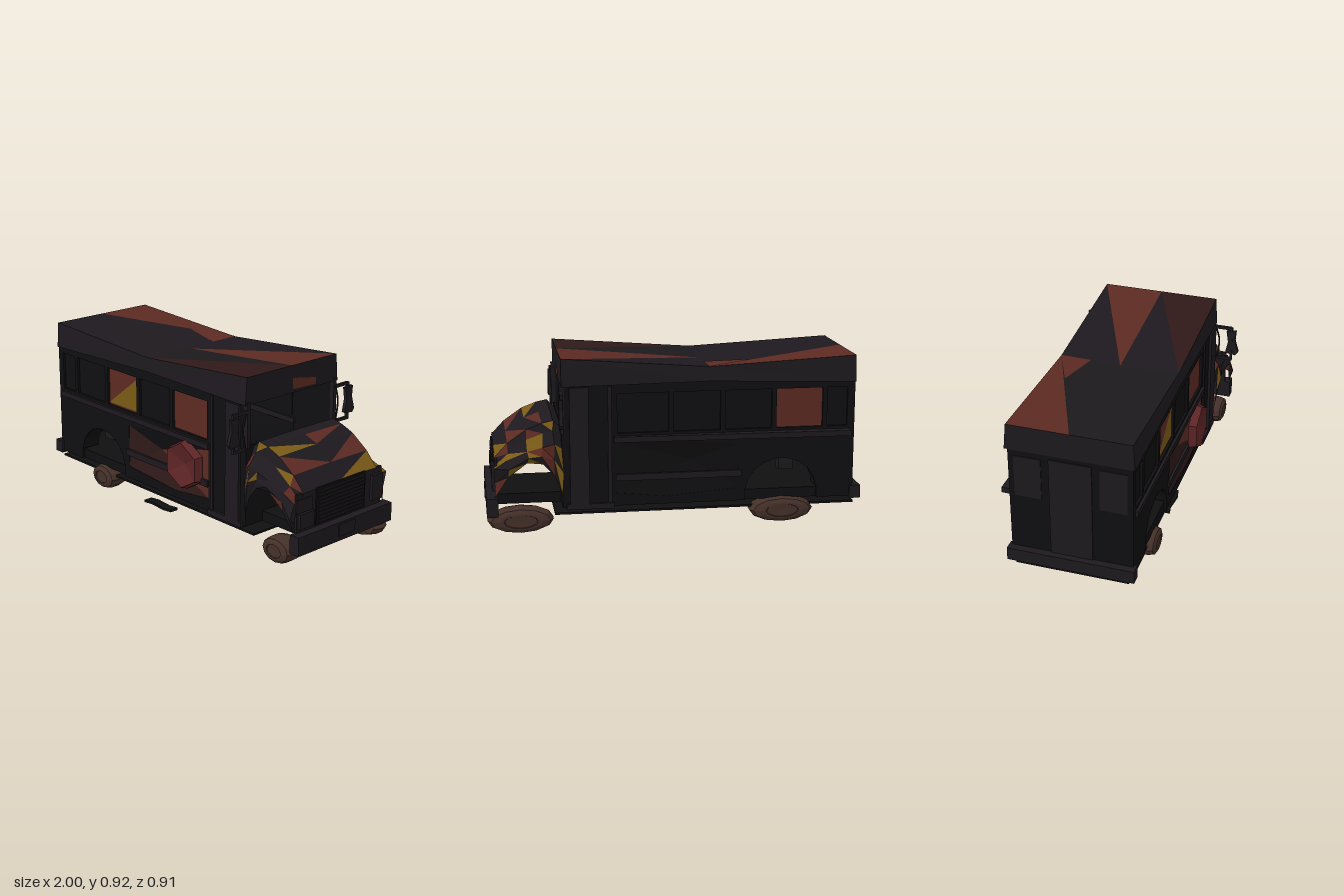
import * as THREE from 'three';

const DARK = 0x1d191e, BLACK = 0x0f0f11, RUST = 0x5c2a22, DIM = 0x2f1918, GOLD = 0x7a5a16, BROWN = 0x453029;

const mat = (color) => new THREE.MeshStandardMaterial({ color, flatShading: true, side: THREE.DoubleSide });

export function createModel() {
  const bus = new THREE.Group();

  const add = (name, geo, color = DARK) => {
    const m = new THREE.Mesh(geo, mat(color));
    m.name = name;
    bus.add(m);
    return m;
  };
  // Box given by its limits on each axis
  const box = (name, x0, x1, y0, y1, z0, z1, color) => {
    const m = add(name, new THREE.BoxGeometry(x1 - x0, y1 - y0, z1 - z0), color);
    m.position.set((x0 + x1) / 2, (y0 + y1) / 2, (z0 + z1) / 2);
    return m;
  };
  // Loose triangles, each three corner points
  const facets = (name, tris, color) => {
    const g = new THREE.BufferGeometry();
    g.setAttribute('position', new THREE.Float32BufferAttribute(tris.flat(2), 3));
    g.computeVertexNormals();
    return add(name, g, color);
  };

  // Side walls with a rear wheel arch
  const wall = new THREE.Shape();
  wall.moveTo(-0.955, 0.13);
  wall.lineTo(-0.76, 0.13);
  wall.lineTo(-0.76, 0.19);
  wall.bezierCurveTo(-0.72, 0.41, -0.41, 0.41, -0.37, 0.19);
  wall.lineTo(-0.37, 0.13);
  wall.lineTo(0.6, 0.13);
  wall.lineTo(0.6, 0.79);
  wall.lineTo(-0.955, 0.79);
  // Openings for the windows and the dented flank panel
  const bays = [-0.92, -0.785, -0.51, -0.235, 0.04];
  const ends = [-0.81, -0.535, -0.26, 0.015, 0.31];
  const dent = [[-0.33, 0.2], [0.05, 0.17], [0.32, 0.2], [0.32, 0.47], [-0.05, 0.47], [-0.33, 0.44]];
  const openings = bays.map((a, i) => [[a, 0.52], [ends[i], 0.52], [ends[i], 0.73], [a, 0.73]]);
  for (const pts of [...openings, dent]) {
    wall.holes.push(new THREE.Path(pts.map((q) => new THREE.Vector2(...q))));
  }
  const wallGeo = new THREE.ExtrudeGeometry(wall, { depth: 0.015, bevelEnabled: false, curveSegments: 10 });

  for (const s of [1, -1]) {
    const side = s > 0 ? 'left' : 'right';
    const sbox = (n, x0, x1, y0, y1, z0, z1, c) =>
      box(side + n, x0, x1, y0, y1, Math.min(s * z0, s * z1), Math.max(s * z0, s * z1), c);
    add(side + 'Wall', wallGeo, BLACK).position.z = s > 0 ? 0.305 : -0.32;
    const paneColors = s > 0 ? [BLACK, BLACK, RUST, BLACK, RUST] : [BLACK, RUST, BLACK, BLACK, BLACK];
    bays.forEach((a, i) => sbox('Window', a, ends[i], 0.52, 0.73, 0.3, 0.306, paneColors[i]));
    // Flank panel pushed inwards as a fan of facets
    const dentColors = s > 0 ? [DIM, DIM, RUST, BLACK, BLACK, DIM] : Array(6).fill(BLACK);
    dent.forEach(([x, y], i) => {
      const [u, v] = dent[(i + 1) % dent.length];
      facets(side + 'FlankPanel', [[[-0.08, 0.36, s * 0.295], [x, y, s * 0.318], [u, v, s * 0.318]]], dentColors[i]);
    });
    // Door leaf, sill and rails
    sbox('DoorPost', 0.46, 0.56, 0.15, 0.77, 0.315, 0.335);
    sbox('DoorFrame', 0.34, 0.36, 0.15, 0.77, 0.315, 0.328);
    sbox('Step', 0.33, 0.58, 0.12, 0.15, 0.26, 0.335);
    sbox('LowerRail', -0.35, 0.32, 0.265, 0.3, 0.315, 0.33);
    const rail = sbox('RubRail', -0.93, 0.33, 0.475, 0.505, 0.31, s > 0 ? 0.335 : 0.36);
    if (s < 0) rail.rotation.y = -0.025;
    // Arched wheel well
    const liner = new THREE.CylinderGeometry(0.192, 0.192, 0.11, 16, 1, true, Math.PI / 2, Math.PI);
    liner.rotateX(Math.PI / 2);
    const well = add(side + 'WheelWell', liner, BLACK);
    well.position.set(-0.565, 0.19, s * 0.265);
    well.scale.y = 0.86;
    sbox('WellBracket', -0.65, -0.57, 0.27, 0.36, 0.16, 0.24);

    // Mirror on a square bracket with a thin stay
    sbox('MirrorTopArm', 0.597, 0.613, 0.737, 0.753, 0.31, 0.415);
    sbox('MirrorUpright', 0.597, 0.613, 0.55, 0.75, 0.408, 0.42);
    sbox('MirrorLowerArm', 0.597, 0.613, 0.545, 0.56, 0.335, 0.42);
    const stay = new THREE.CatmullRomCurve3([[0.74, 0.325], [0.66, 0.345], [0.55, 0.33]]
      .map(([y, z]) => new THREE.Vector3(0.602, y, s * z)));
    add(side + 'MirrorStay', new THREE.TubeGeometry(stay, 6, 0.005, 5));
    const glass = new THREE.Shape();
    [[0.385, 0.725], [0.44, 0.73], [0.435, 0.67], [0.455, 0.6], [0.44, 0.58], [0.38, 0.588], [0.395, 0.66]]
      .forEach(([z, y], i) => (i ? glass.lineTo(-s * z, y) : glass.moveTo(-s * z, y)));
    const mg = new THREE.ExtrudeGeometry(glass, { depth: 0.02, bevelEnabled: false });
    mg.rotateY(Math.PI / 2);
    add(side + 'Mirror', mg).position.x = 0.6;
  }

  // End walls: rear with door, front with open windscreen
  box('rearWall', -0.96, -0.945, 0.13, 0.79, -0.32, 0.32, BLACK);
  box('rearDoor', -0.966, -0.955, 0.19, 0.74, -0.11, 0.11, DARK);
  for (const z of [-0.22, 0.22]) box('rearWindow', -0.964, -0.955, 0.5, 0.73, z - 0.07, z + 0.07, DARK);
  box('firewall', 0.585, 0.6, 0.13, 0.56, -0.31, 0.31, BLACK);
  for (const s of [-1, 1]) box('windscreenPost', 0.585, 0.61, 0.55, 0.79, s * 0.312 - 0.01, s * 0.312 + 0.01);

  // Chassis, thin floor sheet, bumpers and plate
  box('chassis', -0.95, 0.6, 0.13, 0.185, -0.305, 0.305, BLACK);
  box('frontFrame', 0.6, 0.95, 0.13, 0.185, -0.2, 0.2, BLACK);
  box('floorSheet', -0.97, 0.64, 0.087, 0.098, -0.3, 0.3, BLACK);
  box('rearBumper', -1, -0.94, 0.12, 0.19, -0.335, 0.335);
  box('frontBumper', 0.935, 0.995, 0.1, 0.2, -0.348, 0.342);
  box('numberPlate', 0.99, 1, 0.125, 0.19, -0.063, 0.055);

  // Sagging roof cap: stations along x with edge, centre and rim heights
  const stations = [[-0.96, 0.9, 0.9, 0.76], [-0.17, 0.86, 0.85, 0.785], [0.6, 0.92, 0.92, 0.775]];
  const [A, B, C] = stations.map(([x, edge, mid, rim]) => ({
    l: [x, edge, 0.318], r: [x, edge, -0.325], m: [x, mid, 0], L: [x, rim, 0.328], R: [x, rim, -0.338],
  }));
  facets('roofRustPanels', [
    [A.r, A.m, B.r], [B.m, C.m, C.r],
    [[-0.42, 0.874, -0.215], [-0.17, 0.858, -0.16], [-0.17, 0.862, -0.325]],
  ], RUST);
  facets('roofDimPanels', [[C.m, B.l, C.l]], DIM);
  facets('roofDarkPanels', [[A.m, B.m, B.r], [B.r, B.m, C.r], [A.m, B.l, B.m], [B.m, B.l, C.m], [A.m, A.l, B.l]]);
  const band = [];
  for (const [p, q] of [[A, B], [B, C]]) {
    band.push([p.L, q.L, q.l], [p.L, q.l, p.l], [p.R, p.r, q.r], [p.R, q.r, q.R]);
  }
  for (const p of [A, C]) band.push([p.L, p.l, p.r], [p.L, p.r, p.R]);
  facets('roofBand', band);
  facets('roofFrontPatch', [
    [[0.604, 0.855, 0], [0.604, 0.795, 0], [0.604, 0.79, -0.17]],
    [[0.604, 0.855, 0], [0.604, 0.79, -0.17], [0.604, 0.825, -0.17]],
  ], RUST);

  // Crumpled bonnet and wings lofted from cross-sections, split by paint colour
  let seed = 7;
  const rnd = () => (seed = (seed * 16807) % 2147483647) / 2147483647;
  const jig = (a) => (rnd() - 0.5) * a;
  // x, bonnet height, arch edge height, wing height
  const nose = [
    [0.6, 0.55, 0.2, 0.45], [0.64, 0.588, 0.31, 0.48], [0.7, 0.575, 0.375, 0.46], [0.78, 0.545, 0.38, 0.44],
    [0.88, 0.475, 0.31, 0.4], [0.95, 0.4, 0.2, 0.36],
  ];
  const paint = { dark: [], rust: [], gold: [] };
  for (const s of [1, -1]) {
    const rows = nose.map(([x, top, arch, wing]) => [
      [x, arch, s * (0.335 + jig(0.02))],
      [x + jig(0.015), (arch + wing) / 2, s * (0.345 + jig(0.035))],
      [x, wing, s * (0.335 + jig(0.03))],
      [x + jig(0.01), Math.max(wing, top - 0.05), s * (0.288 + jig(0.015))],
      [x, top, s * 0.268],
      [x, top + 0.003, 0],
    ]);
    for (let i = 0; i < rows.length - 1; i++) {
      for (let j = 0; j < 5; j++) {
        const [a, b, c, d] = [rows[i][j], rows[i + 1][j], rows[i + 1][j + 1], rows[i][j + 1]];
        for (const t of [[a, b, c], [a, c, d]]) {
          const k = rnd();
          paint[k < 0.7 ? 'dark' : k < 0.88 ? 'rust' : 'gold'].push(s > 0 ? t : [t[0], t[2], t[1]]);
        }
      }
    }
  }
  facets('bonnetDark', paint.dark);
  facets('bonnetRust', paint.rust, RUST);
  facets('bonnetGold', paint.gold, GOLD);

  // Nose panel, grille and lamps
  box('nosePanel', 0.935, 0.948, 0.2, 0.4, -0.31, 0.31);
  box('grilleFrame', 0.945, 0.955, 0.21, 0.405, -0.18, 0.178, BLACK);
  for (let i = 0; i < 9; i++) box('grilleSlat', 0.95, 0.962, 0.222 + i * 0.02, 0.232 + i * 0.02, -0.168, 0.165);
  box('rightLamp', 0.945, 0.965, 0.23, 0.37, -0.305, -0.226);
  box('leftLamp', 0.945, 0.965, 0.22, 0.3, 0.2, 0.3);
  box('leftIndicator', 0.945, 0.957, 0.305, 0.375, 0.21, 0.32);

  // Gold corner of a left window
  facets('windowGold', [[[-0.51, 0.53, 0.308], [-0.26, 0.53, 0.308], [-0.26, 0.72, 0.308]]], GOLD);

  // Dished six-sided sign with a skirt back to the left flank
  const dish = new THREE.ConeGeometry(0.125, 0.035, 6, 1, true);
  const skirt = new THREE.CylinderGeometry(0.125, 0.14, 0.045, 6, 1, true);
  for (const [name, geo, turn, z] of [['signDish', dish, -1, 0.35], ['signSkirt', skirt, 1, 0.345]]) {
    geo.rotateX(turn * Math.PI / 2);
    add(name, geo, 0x5e2426).position.set(0.155, 0.35, z);
  }

  // Flattened wheels: domed tyre with a flat hub, the left pair squeezed narrower
  const tyre = [[0, -0.054], [0.085, -0.056], [0.09, -0.062], [0.115, -0.06], [0.155, -0.05], [0.172, -0.022],
    [0.172, 0.022], [0.155, 0.05], [0.115, 0.06], [0.09, 0.062], [0.085, 0.056], [0, 0.054]];
  const wheelGeo = new THREE.LatheGeometry(tyre.map((p) => new THREE.Vector2(...p)), 12);
  wheelGeo.rotateX(Math.PI / 2);
  for (const x of [-0.57, 0.82]) {
    for (const s of [-1, 1]) {
      const w = add(x > 0 ? 'frontWheel' : 'rearWheel', wheelGeo, BROWN);
      w.position.set(x, 0.072, s * 0.283 - 0.005);
      w.scale.set(s > 0 ? 0.56 : 1, 0.4, 1);
    }
  }

  // Loose scrap lying on the ground
  const scrap = new THREE.BoxGeometry(0.21, 0.014, 0.05, 4, 1, 1);
  const p = scrap.attributes.position;
  for (let i = 0; i < p.count; i++) p.setZ(i, p.getZ(i) + 0.006 * Math.sin(p.getX(i) * 40));
  add('scrapPlate', scrap, BLACK).position.set(-0.125, 0.017, 0.27);

  return bus;
}
